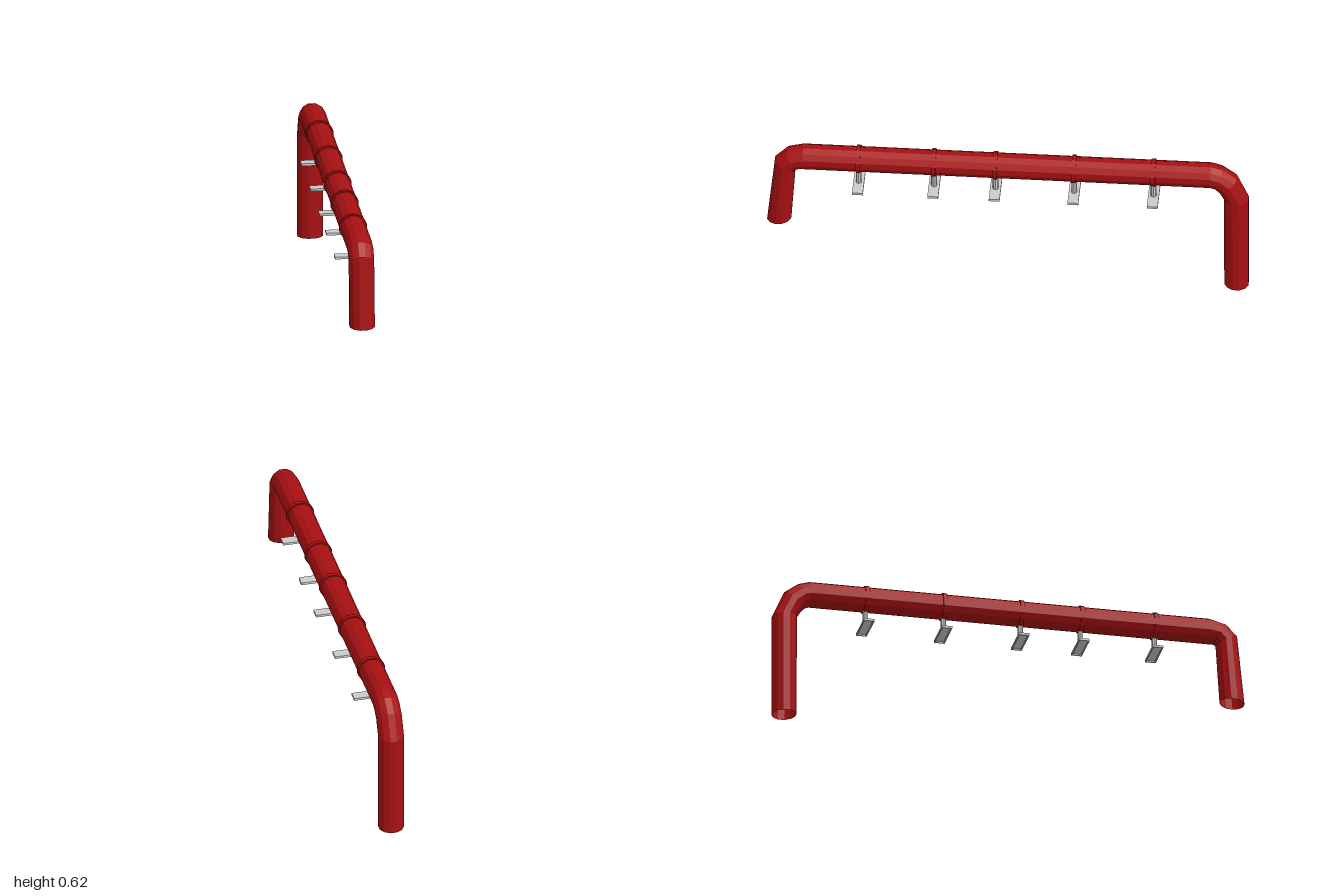
import * as THREE from 'three';

const SIDES = 12;
const PIPE_R = 0.0538;
const PIPE_Y = 0.56;

const red = new THREE.MeshStandardMaterial({ color: 0xa81012, flatShading: true, side: THREE.DoubleSide });
const grey = new THREE.MeshStandardMaterial({ color: 0xcccccc, flatShading: true });

// Mitred pipe stations, front to back: [outer z, outer y, inner z, inner y]
const STATIONS = [
  [1.0, 0.235, 0.9, 0.243],
  [0.968, 0.544, 0.883, 0.5],
  [0.92, 0.593, 0.875, 0.508],
  [0.85, 0.612, 0.85, 0.508],
  [-0.845, 0.612, -0.845, 0.508],
  [-0.893, 0.598, -0.858, 0.503],
  [-0.952, 0.555, -0.877, 0.485],
  [-1.0, 0.448, -0.898, 0.448],
  [-1.0, 0.0, -0.9, 0.004],
];

// Open tube skinned over one ring per station
function pipeGeometry() {
  const positions = [];
  const index = [];
  const half = 0.5 / Math.cos(Math.PI / SIDES);
  STATIONS.forEach(([oz, oy, iz, iy], s) => {
    for (let k = 0; k < SIDES; k++) {
      const a = ((k + 0.5) / SIDES) * Math.PI * 2;
      const c = Math.cos(a) * half;
      positions.push(PIPE_R * Math.sin(a), (oy + iy) / 2 + (oy - iy) * c, (oz + iz) / 2 + (oz - iz) * c);
      if (s === STATIONS.length - 1) continue;
      const p = s * SIDES + k;
      const q = s * SIDES + ((k + 1) % SIDES);
      index.push(p, q, p + SIDES, q, q + SIDES, p + SIDES);
    }
  });
  const g = new THREE.BufferGeometry();
  g.setAttribute('position', new THREE.Float32BufferAttribute(positions, 3));
  g.setIndex(index);
  g.computeVertexNormals();
  return g;
}

function add(parent, name, geometry, material, y = 0) {
  const mesh = new THREE.Mesh(geometry, material);
  mesh.name = name;
  mesh.position.y = y;
  parent.add(mesh);
  return mesh;
}

// Rectangular rim under the foot plate
function rimGeometry(w, d, wall, h) {
  const rect = (P, x, z) =>
    new P([[-x, -z], [x, -z], [x, z], [-x, z]].map(([a, b]) => new THREE.Vector2(a, b)));
  const shape = rect(THREE.Shape, w / 2, d / 2);
  shape.holes.push(rect(THREE.Path, w / 2 - wall, d / 2 - wall));
  return new THREE.ExtrudeGeometry(shape, { depth: h, bevelEnabled: false }).rotateX(-Math.PI / 2);
}

// Clamp ring, hanging post and shallow hollow foot
function hanger(z) {
  const g = new THREE.Group();
  g.name = 'pipeHanger';
  g.position.z = z;
  const ring = new THREE.CylinderGeometry(0.0592, 0.0592, 0.018, SIDES, 1, false, Math.PI / SIDES);
  add(g, 'clampRing', ring.rotateX(Math.PI / 2), red, PIPE_Y);
  add(g, 'post', new THREE.CylinderGeometry(0.012, 0.012, 0.075, 8), grey, 0.4755);
  add(g, 'footPlate', new THREE.BoxGeometry(0.155, 0.004, 0.045), grey, 0.438);
  add(g, 'footRim', rimGeometry(0.155, 0.045, 0.005, 0.006), grey, 0.43);
  return g;
}

export function createModel() {
  const model = new THREE.Group();
  model.name = 'pipeRun';
  add(model, 'pipe', pipeGeometry(), red);
  for (const z of [0.62, 0.307, 0.052, -0.275, -0.605]) model.add(hanger(z));
  return model;
}
